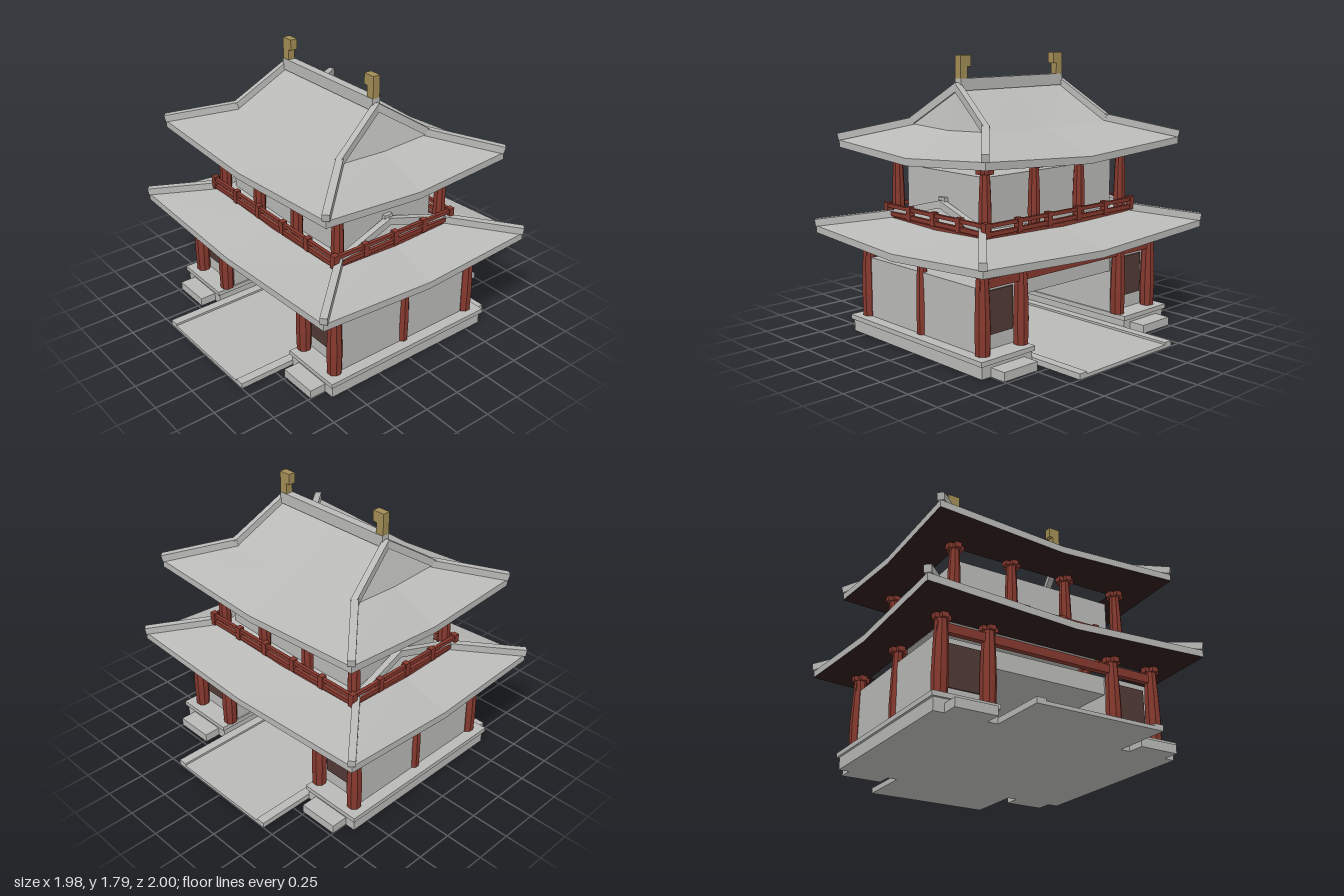
import * as THREE from 'three';

const mat = (name, color, extra = {}) => {
  const m = new THREE.MeshStandardMaterial({ color, ...extra });
  m.name = name;
  return m;
};

export function createModel() {
  const stone = mat('stone grey', 0xb9b9b7);
  const red = mat('painted red', 0x86392e, { flatShading: true });
  const brown = mat('dark brown', 0x513a35);
  const dark = mat('eave dark', 0x2c1c19);
  const gold = mat('old gold', 0xa28d55);
  const model = new THREE.Group();
  model.name = 'gatehouse';

  const add = (name, geo, material, x = 0, y = 0, z = 0) => {
    const m = new THREE.Mesh(geo, material);
    m.name = name;
    m.position.set(x, y, z);
    model.add(m);
    return m;
  };
  // box from its limits
  const box = (name, material, x0, x1, y0, y1, z0, z1) =>
    add(name, new THREE.BoxGeometry(x1 - x0, y1 - y0, z1 - z0), material,
      (x0 + x1) / 2, (y0 + y1) / 2, (z0 + z1) / 2);
  // the same box on both sides of x = 0
  const pairX = (name, material, x0, x1, ...rest) => {
    box(name, material, x0, x1, ...rest);
    box(name, material, -x1, -x0, ...rest);
  };
  // the same box in all four quarters
  const quad = (name, material, x0, x1, y0, y1, z0, z1) => {
    pairX(name, material, x0, x1, y0, y1, z0, z1);
    pairX(name, material, x0, x1, y0, y1, -z1, -z0);
  };
  // square bar between two points
  const bar = (name, a, b, w, h) => {
    const A = new THREE.Vector3(...a), B = new THREE.Vector3(...b);
    const m = add(name, new THREE.BoxGeometry(w, h, A.distanceTo(B) + 0.02), stone);
    m.position.copy(A).lerp(B, 0.5);
    m.lookAt(B);
  };

  // bulging octagonal column with a crossed bracket on top
  const column = (x, z, y0, y1, r) => {
    const h = y1 - y0;
    const profile = [[0, 0], [r * 0.92, 0], [r, h * 0.3], [r * 0.9, h * 0.65], [r * 0.7, h], [0, h]]
      .map(([px, py]) => new THREE.Vector2(px, py));
    const geo = new THREE.LatheGeometry(profile, 8, Math.PI / 8);
    add('column', geo, red, x, y0, z);
    const l = 0.052, t = 0.022, yb = y1 - 0.032;
    box('bracket', red, x - l, x + l, yb, y1, z - t, z + t);
    box('bracket', red, x - t, x + t, yb, y1, z - l, z + l);
  };

  // hip-and-gable roof: eaves and mid line lifted towards the corners
  const roof = (name, { X, Z, mx, mz, rx, yE, yM, yR, ix, iz }) => {
    const top = [], under = [];
    const t = 0.045, lift = 0.048, midLift = 0.015, yS = yE - t;
    for (const sx of [1, -1]) for (const sz of [1, -1]) {
      const face = (list, ...pts) => {
        const p = pts.map(([x, y, z]) => [x * sx, y, z * sz]);
        if (sx * sz < 0) p.reverse();
        for (let i = 1; i < p.length - 1; i++) list.push(...p[0], ...p[i], ...p[i + 1]);
      };
      const C = [X, yE + lift, Z], F = [0, yE, Z], S = [X, yE, 0];
      const M = [mx, yM + midLift, mz], MF = [0, yM, mz], MS = [mx, yM, 0];
      const R = [rx, yR, 0], RC = [0, yR, 0];
      const low = ([x, y, z]) => [x, y - t, z];
      // slopes and gable
      face(top, F, C, M, MF);
      face(top, MF, M, R, RC);
      face(top, C, S, MS, M);
      face(top, M, MS, R);
      // fascia
      face(top, low(F), low(C), C, F);
      face(top, low(C), low(S), S, C);
      // soffit ring
      face(under, [0, yS, iz], [ix, yS, iz], low(C), low(F));
      face(under, [ix, yS, iz], [ix, yS, 0], low(S), low(C));
      // hip and gable ridges
      const at = ([x, y, z]) => [x * sx, y + 0.02, z * sz];
      bar(name + ' hip ridge', at(M), at([X - 0.005, yE + lift + 0.004, Z - 0.005]), 0.045, 0.046);
      bar(name + ' gable ridge', at(M), at([rx, yR - 0.005, 0]), 0.04, 0.046);
    }
    for (const [part, list, material] of [[' tiles', top, stone], [' soffit', under, dark]]) {
      const g = new THREE.BufferGeometry();
      g.setAttribute('position', new THREE.Float32BufferAttribute(list, 3));
      g.computeVertexNormals();
      add(name + part, g, material);
    }
  };

  // road with kerbs, platforms and steps
  box('road', stone, -0.42, 0.42, 0, 0.022, -1, 1);
  pairX('kerb', stone, 0.36, 0.42, 0, 0.036, -1, 1);
  pairX('platform', stone, 0.42, 0.82, 0, 0.08, -0.62, 0.62);
  pairX('platformCap', stone, 0.41, 0.835, 0.08, 0.11, -0.635, 0.635);
  quad('step', stone, 0.485, 0.75, 0, 0.056, 0.62, 0.73);

  // side rooms, doors and the panel over the passage
  pairX('lowerWall', stone, 0.42, 0.76, 0.11, 0.5, -0.5, 0.5);
  quad('doorPanel', brown, 0.47, 0.71, 0.2, 0.465, 0.5, 0.509);
  box('passageCeiling', stone, -0.42, 0.42, 0.385, 0.5, -0.49, 0.49);

  // lower columns and beams
  for (const sx of [1, -1]) {
    for (const sz of [1, -1]) for (const x of [0.745, 0.44]) column(sx * x, sz * 0.545, 0.11, 0.605, 0.05);
    column(sx * 0.745, 0, 0.11, 0.605, 0.04);
  }
  for (const sz of [1, -1]) box('beam', red, -0.78, 0.78, 0.5, 0.555, sz * 0.545 - 0.02, sz * 0.545 + 0.02);

  roof('lowerRoof', { X: 0.97, Z: 0.8, mx: 0.63, mz: 0.42, rx: 0.585, yE: 0.645, yM: 0.75, yR: 0.88, ix: 0.7, iz: 0.5 });
  box('lowerRidge', stone, -0.585, 0.585, 0.88, 0.935, -0.03, 0.03);

  // upper room and columns
  box('upperWall', stone, -0.56, 0.56, 0.74, 1.095, -0.36, 0.36);
  for (const sz of [1, -1]) for (const x of [-0.6, -0.2, 0.2, 0.6]) column(x, sz * 0.41, 0.74, 1.16, 0.041);

  // balcony railing
  const rails = [[0.735, 0.765, 0.64, 0.45], [0.772, 0.798, 0.648, 0.468], [0.822, 0.845, 0.648, 0.468]];
  for (const [y0, y1, x, z] of rails) for (const s of [1, -1]) {
    box('rail', red, -x, x, y0, y1, s * z - 0.011, s * z + 0.011);
    box('rail', red, s * x - 0.011, s * x + 0.011, y0, y1, -z, z);
  }
  const post = (x, z) => box('railPost', red, x - 0.019, x + 0.019, 0.765, 0.853, z - 0.019, z + 0.019);
  for (const s of [1, -1]) {
    for (const x of [-0.645, -0.385, -0.13, 0.13, 0.385, 0.645]) post(x, s * 0.465);
    for (const z of [-0.235, 0, 0.235]) post(s * 0.645, z);
  }

  roof('upperRoof', { X: 0.85, Z: 0.69, mx: 0.53, mz: 0.34, rx: 0.45, yE: 1.2, yM: 1.34, yR: 1.585, ix: 0.58, iz: 0.39 });
  box('upperRidge', stone, -0.445, 0.445, 1.575, 1.65, -0.028, 0.028);

  // gilded ridge-end ornaments
  pairX('ornamentStem', gold, 0.39, 0.445, 1.65, 1.79, -0.025, 0.025);
  pairX('ornamentHead', gold, 0.362, 0.39, 1.72, 1.79, -0.025, 0.025);
  return model;
}
